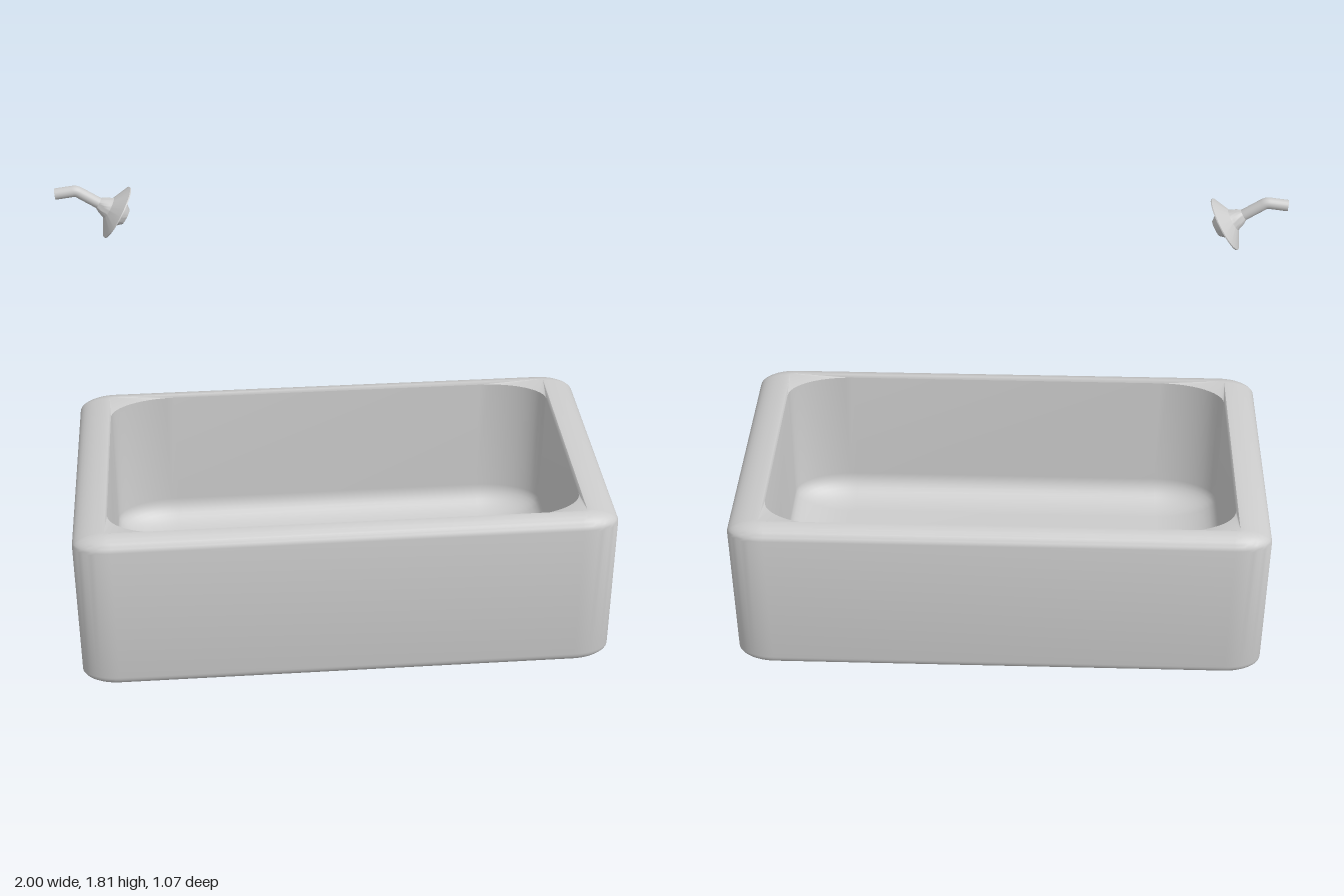
import * as THREE from 'three';
import { toCreasedNormals } from 'three/addons/utils/BufferGeometryUtils.js';

const material = new THREE.MeshStandardMaterial({ color: 0xcccccc, side: THREE.DoubleSide });
const CORNER_STEPS = 12;

// Rectangle with elliptical corners, as a loop of points at height y
function ring(hx, hz, rx, rz, y) {
  const points = [];
  for (let q = 0; q < 4; q++) {
    const sx = q === 0 || q === 3 ? 1 : -1;
    const sz = q < 2 ? 1 : -1;
    for (let i = 0; i <= CORNER_STEPS; i++) {
      const a = (q + i / CORNER_STEPS) * Math.PI / 2;
      points.push([sx * (hx - rx) + rx * Math.cos(a), y, sz * (hz - rz) + rz * Math.sin(a)]);
    }
  }
  return points;
}

// Skin a stack of loops, closing both ends
function loft(rings, bottomY, topY) {
  const n = rings[0].length;
  const positions = rings.flat(2);
  const index = [];
  for (let r = 0; r < rings.length - 1; r++) {
    for (let i = 0; i < n; i++) {
      const a = r * n + i, b = r * n + (i + 1) % n;
      index.push(a, a + n, b, b, a + n, b + n);
    }
  }
  const first = rings.length * n, last = (rings.length - 1) * n;
  positions.push(0, bottomY, 0, 0, topY, 0);
  for (let i = 0; i < n; i++) {
    const j = (i + 1) % n;
    index.push(first, i, j, first + 1, last + j, last + i);
  }
  const geometry = new THREE.BufferGeometry();
  geometry.setAttribute('position', new THREE.Float32BufferAttribute(positions, 3));
  geometry.setIndex(index);
  return toCreasedNormals(geometry, 0.6);
}

function addMesh(parent, name, geometry) {
  const mesh = new THREE.Mesh(geometry, material);
  mesh.name = name;
  parent.add(mesh);
  return mesh;
}

function tubGeometry() {
  const HX = 1, HZ = 0.535, H = 0.675;
  const RX = 0.14, RY = 0.055, RZ = 0.075;
  const rings = [];
  const outer = (c, y) => rings.push(
    ring(HX - RX * (1 - c), HZ - RZ * (1 - c), RX * c, RZ * c, y));
  const steps = 10, end = Math.acos(0.15);
  // outside: rounded bottom edge, wall, rounded top edge
  for (let i = 0; i <= steps; i++) {
    const t = Math.PI / 2 * (1 - i / steps);
    outer(Math.max(Math.cos(t), 0.01), RY * (1 - Math.sin(t)));
  }
  for (let i = 0; i <= steps; i++) {
    const t = end * i / steps;
    outer(Math.cos(t), H - RY * (1 - Math.sin(t)));
  }
  // inside: rim dipping into the basin, basin wall, floor with large fillets
  const IX = 0.874, IZ = 0.468, FX = 0.25, FY = 0.1, FZ = 0.13, FLOOR = 0.07;
  rings.push(ring(IX, IZ, FX, FZ, H - 0.014));
  for (let i = 0; i <= steps; i++) {
    const t = Math.PI / 2 * i / steps;
    const c = Math.max(Math.cos(t), 0.01);
    rings.push(ring(IX - FX * (1 - c), IZ - FZ * (1 - c), FX * c, FZ * c,
      FLOOR + FY * (1 - Math.sin(t))));
  }
  return loft(rings, 0, FLOOR);
}

export function createModel() {
  const model = new THREE.Group();
  model.name = 'bathtubWithShower';

  addMesh(model, 'tub', tubGeometry());

  const shower = new THREE.Group();
  shower.name = 'shower';
  shower.position.z = -0.035;
  model.add(shower);

  // bent arm coming out of the wall
  const arm = new THREE.CurvePath();
  const p = (x, y) => new THREE.Vector3(x, y, 0);
  arm.add(new THREE.LineCurve3(p(-0.992, 1.782), p(-0.93, 1.79)));
  arm.add(new THREE.QuadraticBezierCurve3(p(-0.93, 1.79), p(-0.918, 1.792), p(-0.908, 1.785)));
  arm.add(new THREE.LineCurve3(p(-0.908, 1.785), p(-0.82, 1.727)));
  addMesh(shower, 'showerArm', new THREE.TubeGeometry(arm, 40, 0.02, 20));
  const cap = addMesh(shower, 'armEnd', new THREE.CircleGeometry(0.02, 20));
  cap.position.set(-0.992, 1.782, 0);
  cap.rotation.y = -Math.PI / 2;

  // knob, wide flange and nozzle, turned about the tilted axis
  const profile = [
    [0, -0.075], [0.02, -0.074], [0.03, -0.058], [0.036, -0.042], [0.04, -0.034],
    [0.1, -0.002], [0.1, 0.002], [0.046, 0.013], [0.04, 0.022], [0.03, 0.034], [0, 0.034],
  ].map(([r, y]) => new THREE.Vector2(r, y));
  const head = addMesh(shower, 'showerHead',
    toCreasedNormals(new THREE.LatheGeometry(profile, 40), 0.6));
  head.position.set(-0.78, 1.703, 0);
  head.quaternion.setFromUnitVectors(
    new THREE.Vector3(0, 1, 0), new THREE.Vector3(0.85, -0.53, 0).normalize());

  return model;
}
